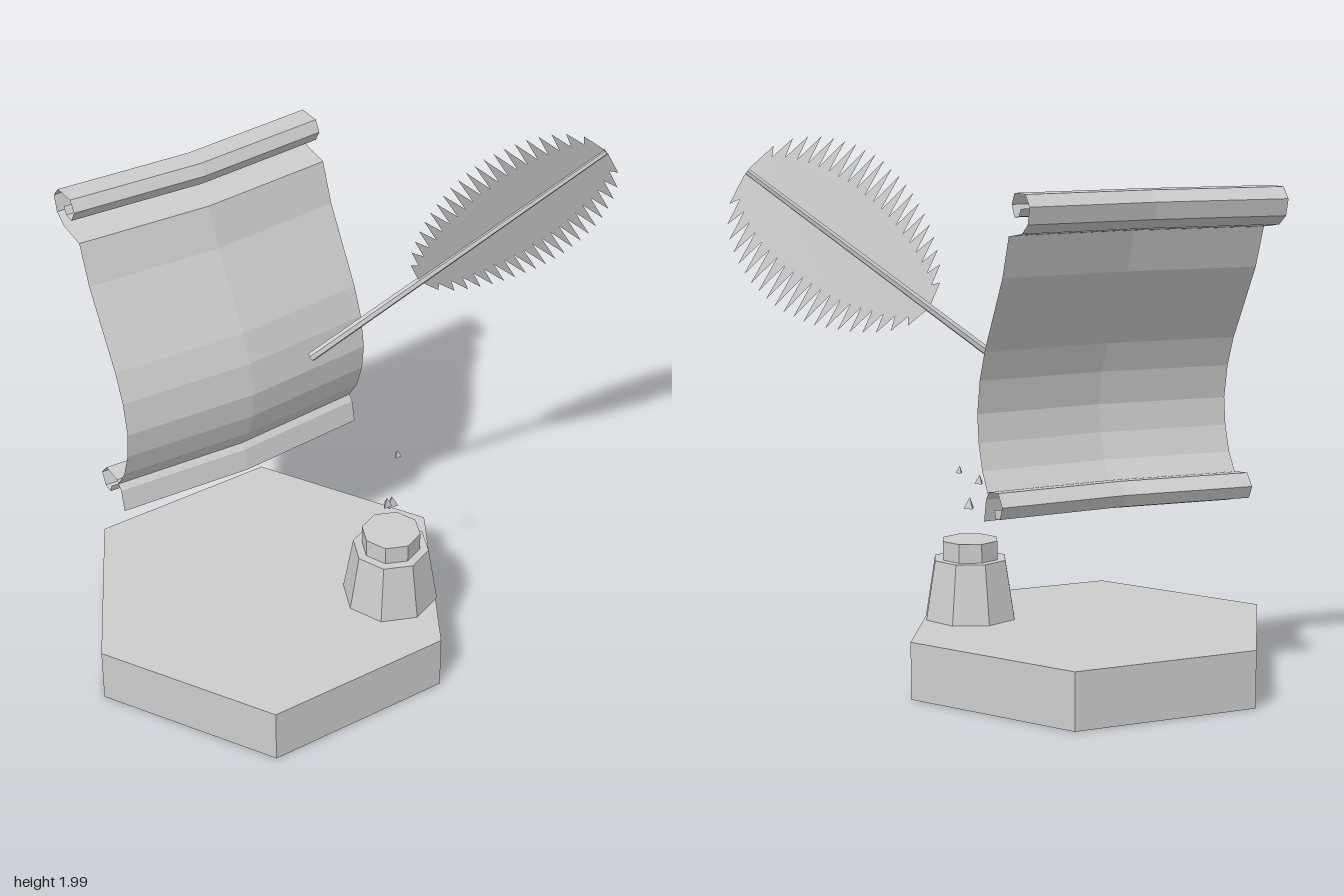
import * as THREE from 'three';

const grey = new THREE.MeshStandardMaterial({ color: 0xcccccc, flatShading: true });
const thin = new THREE.MeshStandardMaterial({ color: 0xcccccc, flatShading: true, side: THREE.DoubleSide });
const CENTRE = -0.263;

function add(parent, name, geometry, x = 0, y = 0, z = 0, material = grey) {
  const mesh = new THREE.Mesh(geometry, material);
  mesh.name = name;
  mesh.position.set(x, y, z);
  parent.add(mesh);
  return mesh;
}

// Sheet swept across x from a [z, y] profile, folded forward along its middle
function foldedSheet(profile) {
  const halfWidth = 0.493, fold = 0.035;
  const positions = [], index = [];
  for (const [z, y] of profile) {
    for (const side of [-1, 0, 1]) {
      positions.push(CENTRE + side * halfWidth, y, z + fold * (1 - Math.abs(side)));
    }
  }
  for (let i = 0; i < profile.length - 1; i++) {
    for (let j = 0; j < 2; j++) {
      const a = i * 3 + j, b = a + 3;
      index.push(a, b, a + 1, b, b + 1, a + 1);
    }
  }
  const geometry = new THREE.BufferGeometry();
  geometry.setAttribute('position', new THREE.Float32BufferAttribute(positions, 3));
  geometry.setIndex(index);
  geometry.computeVertexNormals();
  return geometry;
}

function makeScroll() {
  const scroll = new THREE.Group();
  scroll.name = 'scroll';
  add(scroll, 'page', foldedSheet([
    [-0.378, 1.677], [-0.325, 1.53], [-0.246, 1.39], [-0.172, 1.26], [-0.13, 1.153],
    [-0.108, 1.032], [-0.119, 0.931], [-0.15, 0.836], [-0.198, 0.762],
  ]), 0, 0, 0, thin);
  add(scroll, 'topCurl', foldedSheet([
    [-0.378, 1.677], [-0.405, 1.68], [-0.485, 1.692], [-0.53, 1.725], [-0.545, 1.785],
    [-0.51, 1.825], [-0.425, 1.825], [-0.402, 1.785], [-0.425, 1.743], [-0.46, 1.748], [-0.475, 1.775],
  ]), 0, 0, 0, thin);
  add(scroll, 'bottomCurl', foldedSheet([
    [-0.165, 0.66], [-0.182, 0.74], [-0.21, 0.772], [-0.285, 0.78],
    [-0.322, 0.735], [-0.30, 0.69], [-0.265, 0.685], [-0.255, 0.715],
  ]), 0, 0, 0, thin);
  return scroll;
}

function makeQuill() {
  const quill = new THREE.Group();
  quill.name = 'quill';
  const start = new THREE.Vector3(-0.02, 1.1, -0.075);
  const along = new THREE.Vector3(0.92, 0.77, 0.445);
  const length = along.length();
  along.normalize();
  const across = new THREE.Vector3(-0.64, 0.765, 0).normalize();
  const normal = along.clone().cross(across).normalize();
  across.crossVectors(normal, along);
  // Local x runs along the shaft, local y across the vane
  quill.applyMatrix4(new THREE.Matrix4().makeBasis(along, across, normal).setPosition(start));

  const shaft = new THREE.CylinderGeometry(0.012, 0.017, length, 6).rotateZ(-Math.PI / 2);
  add(quill, 'shaft', shaft, length / 2);

  // Vane outline: a row of barbs up one edge and back down the other
  const barbs = 21, from = 0.38 * length, span = 0.62 * length;
  const reach = (u) => 0.03 + 0.295 * Math.pow(Math.sin(Math.PI * Math.pow(u, 1.2)), 0.45);
  const edge = [];
  for (let i = 0; i < barbs; i++) {
    const root = i / barbs, tip = (i + 0.5) / barbs;
    edge.push([from + root * span, 0.57 * reach(root)], [from + tip * span, reach(tip)]);
  }
  edge.push([from + span, 0.02]);
  const outline = [...edge, ...edge.map(([s, w]) => [s, -w]).reverse()];
  const vane = new THREE.Shape(outline.map(([s, w]) => new THREE.Vector2(s, w)));
  add(quill, 'vane', new THREE.ShapeGeometry(vane), 0, 0, 0, thin);
  return quill;
}

export function createModel() {
  const model = new THREE.Group();
  model.name = 'writingSet';

  // Six-sided plinth with a corner on each side
  const plinth = new THREE.CylinderGeometry(0.707, 0.707, 0.21, 6).rotateY(Math.PI / 6);
  add(model, 'base', plinth, CENTRE, 0.105, 0);

  // Eight-sided inkwell
  const inkwell = new THREE.Group();
  inkwell.name = 'inkwell';
  inkwell.position.set(0.09, 0, 0.285);
  add(inkwell, 'body', new THREE.CylinderGeometry(0.14, 0.176, 0.22, 8), 0, 0.32, 0);
  add(inkwell, 'neck', new THREE.CylinderGeometry(0.108, 0.108, 0.07, 8), 0, 0.465, 0);
  model.add(inkwell);

  // Ink drops rising from the well
  [[0.09, 0.636, 0.285, 0.042], [0.02, 0.708, 0.355, 0.035], [0.16, 0.778, 0.215, 0.027]]
    .forEach(([x, y, z, size]) => {
      const drop = new THREE.ConeGeometry(size * 0.56, size, 3).rotateY(Math.PI);
      add(model, 'inkDrop', drop, x, y, z);
    });

  model.add(makeScroll(), makeQuill());
  return model;
}
